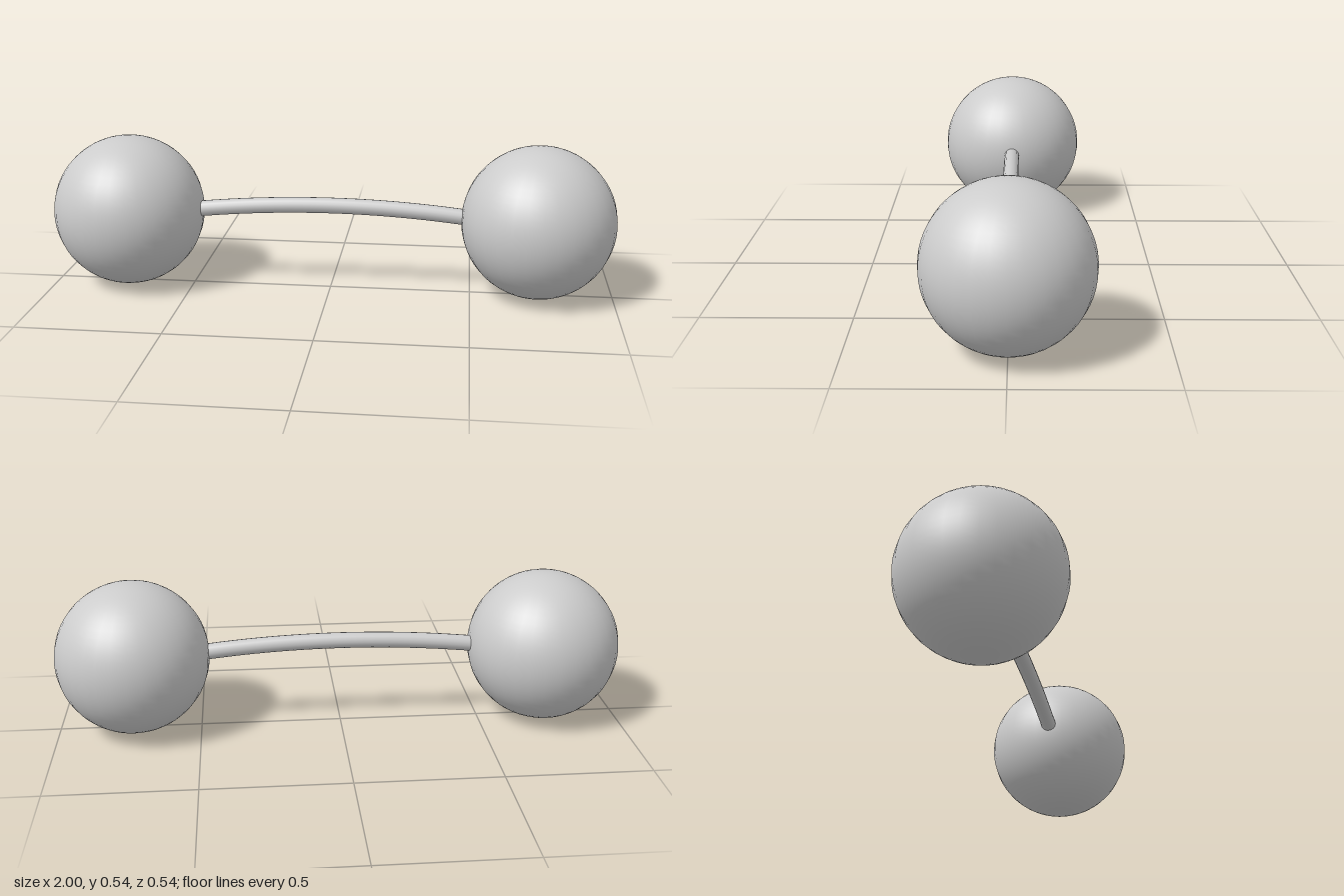
import * as THREE from 'three';

export function createModel() {
  const model = new THREE.Group();
  const material = new THREE.MeshStandardMaterial({ color: 0xcccccc });
  const radius = 0.269, centre = 0.731;

  // Matching end weights
  const ballGeometry = new THREE.SphereGeometry(radius, 32, 32);
  for (const [name, side] of [['leftBall', 1], ['rightBall', -1]]) {
    const ball = new THREE.Mesh(ballGeometry, material);
    ball.name = name;
    ball.position.set(side * centre, radius + 0.002, 0);
    model.add(ball);
  }

  // Gently arched bar, its ends sunk into the balls
  const end = 0.54, top = 0.308, drop = 0.035;
  const arch = new THREE.QuadraticBezierCurve3(
    new THREE.Vector3(-end, top - drop, 0),
    new THREE.Vector3(0, top + drop, 0),
    new THREE.Vector3(end, top - drop, 0)
  );
  const bar = new THREE.Mesh(new THREE.TubeGeometry(arch, 32, 0.028, 16), material);
  bar.name = 'archedBar';
  model.add(bar);

  return model;
}
